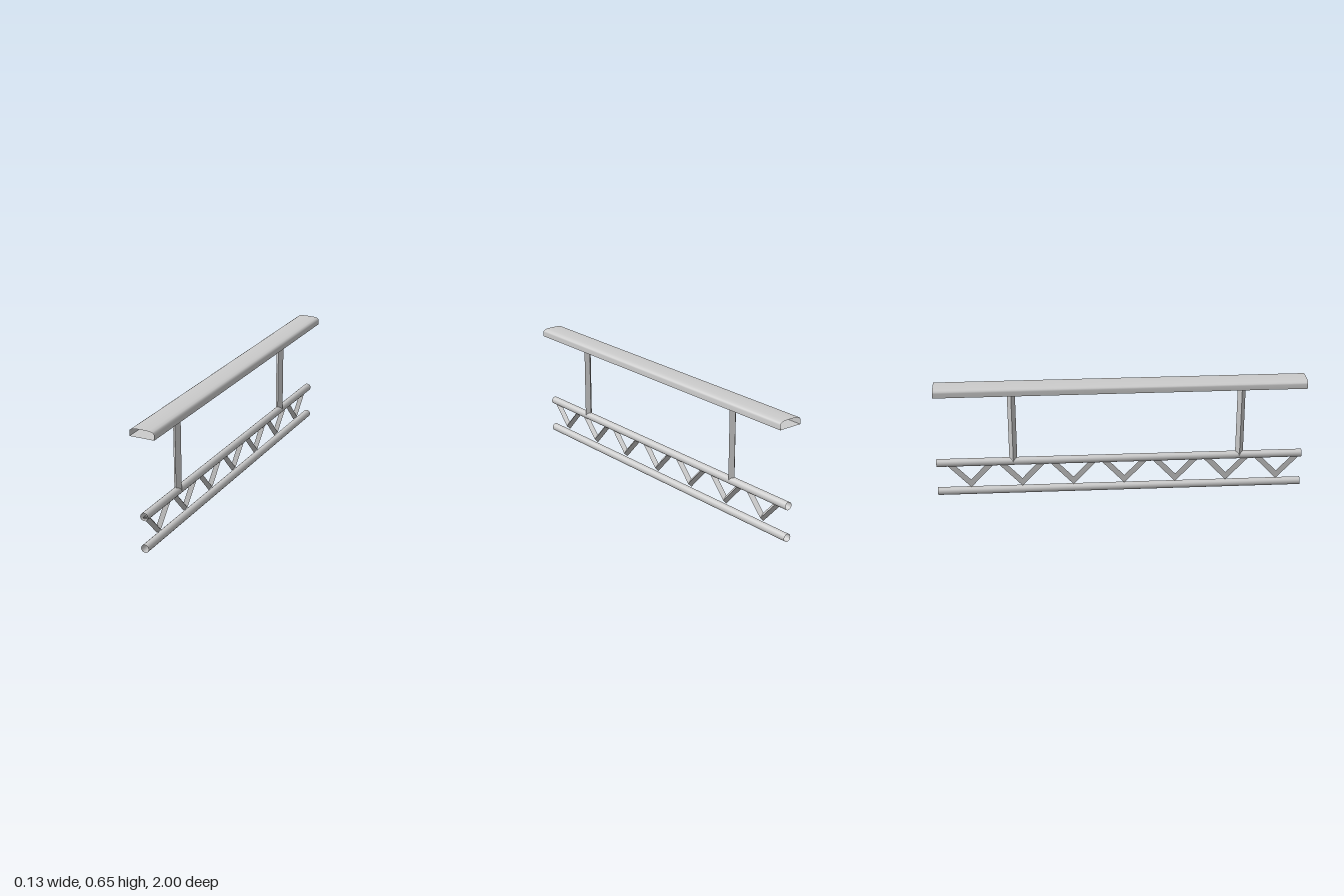
import * as THREE from 'three';

const X = -0.003; // shared centre line
const smooth = new THREE.MeshStandardMaterial({ color: 0xcccccc, side: THREE.DoubleSide });
const faceted = new THREE.MeshStandardMaterial({ color: 0xcccccc, side: THREE.DoubleSide, flatShading: true });

// Skin a list of cross-sections (each a list of [x, y, z]).
function loft(sections, closed) {
  const n = sections[0].length, index = [];
  for (let s = 0; s < sections.length - 1; s++) {
    for (let i = 0; i < (closed ? n : n - 1); i++) {
      const a = s * n + i, b = s * n + (i + 1) % n;
      index.push(a, b, a + n, b, b + n, a + n);
    }
  }
  const geo = new THREE.BufferGeometry();
  geo.setAttribute('position', new THREE.Float32BufferAttribute(sections.flat(2), 3));
  geo.setIndex(index);
  geo.computeVertexNormals();
  return geo;
}

export function createModel() {
  const group = new THREE.Group();
  const add = (name, geo, mat, x = 0, y = 0, z = 0) => {
    const mesh = new THREE.Mesh(geo, mat);
    mesh.name = name;
    mesh.position.set(x, y, z);
    group.add(mesh);
  };

  // Hollow handrail: flat underside, upright sides and a softly crowned top
  const w = 0.067;
  const half = [[w, 0.607], [w, 0.632], [w - 0.003, 0.64], [w - 0.012, 0.646], [w - 0.03, 0.649]];
  const profile = [...half, [0, 0.65], ...half.map(([x, y]) => [-x, y]).reverse()];
  const along = (pts) => [1, -0.993].map((z) => pts.map(([x, y]) => [x + X, y, z]));
  add('handrailTop', loft(along(profile), false), smooth);
  add('handrailUnderside', loft(along([[-w, 0.607], [w, 0.607]]), false), smooth);

  // Two open pipes
  const pipe = new THREE.CylinderGeometry(0.0215, 0.0215, 2, 16, 1, true).rotateX(Math.PI / 2);
  add('lowerPipe', pipe, smooth, X, 0.0215, 0);
  add('upperPipe', pipe, smooth, X, 0.1935, 0);

  // Square posts, turned corner-on
  const post = new THREE.CylinderGeometry(0.0215, 0.0215, 0.415, 4, 1, true);
  for (const z of [0.655, -0.583]) add('post', post, faceted, X, 0.3995, z);

  // V-shaped braces of triangular bar, cut level inside the upper pipe
  const top = 0.19, apex = 0.045, slope = 0.935;
  const bar = [[-0.012, 0], [0.01, 0.023], [-0.012, 0.046]];
  const brace = loft([1, 0, -1].map((side) => bar.map(([x, dy]) => [
    x, side ? top : apex + dy, side * (top - apex - dy) * slope,
  ])), true);
  for (let i = 0; i < 7; i++) add('brace', brace, faceted, 0, 0, 0.863 - i * 0.28);

  return group;
}
